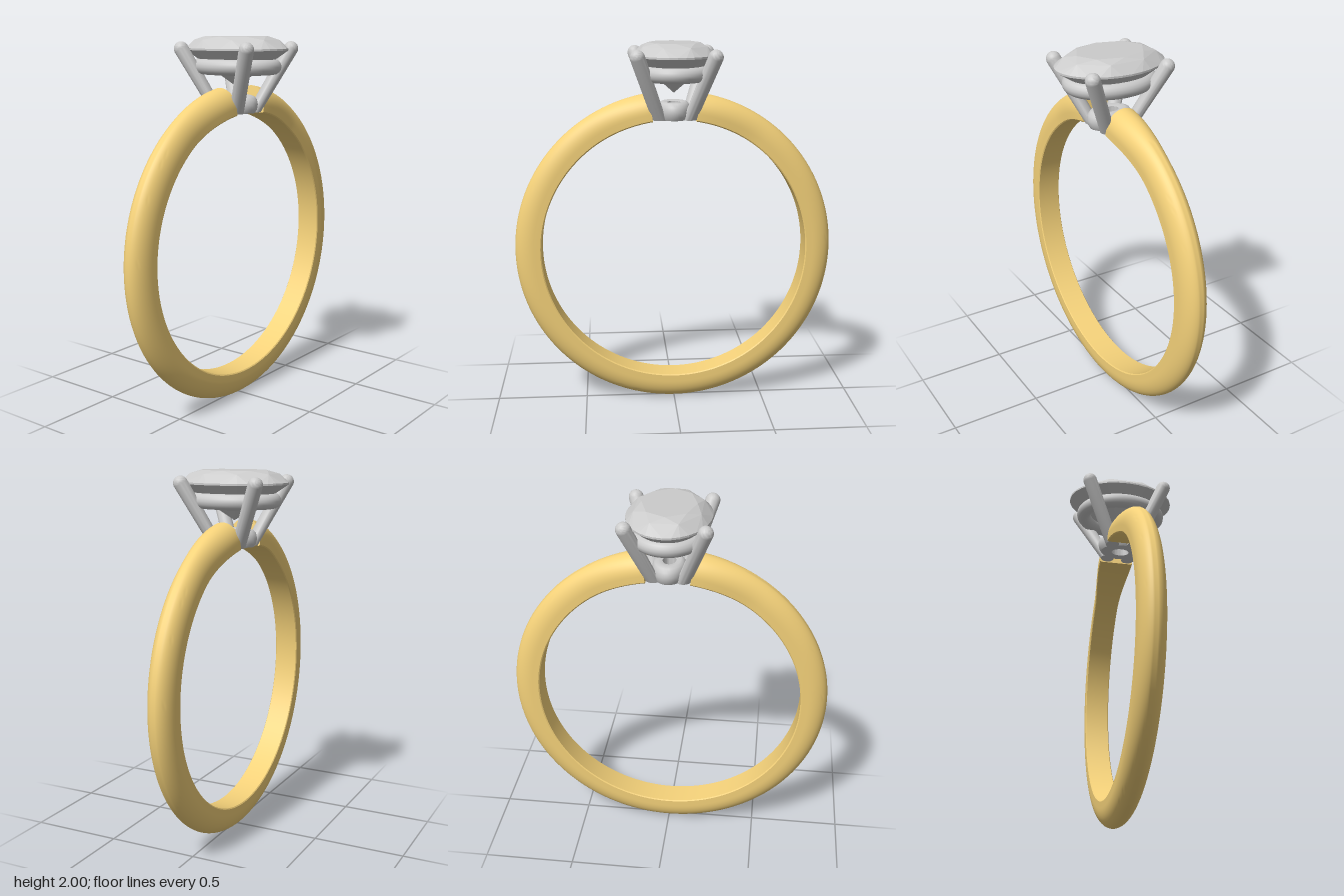
import * as THREE from 'three';
import { toCreasedNormals } from 'three/addons/utils/BufferGeometryUtils.js';
import { ConvexGeometry } from 'three/addons/geometries/ConvexGeometry.js';

const CENTRE_Y = 0.873, R_IN = 0.727, R_OUT = 0.873;

// Band: a domed section swept around the finger, open at the top and wider towards its ends
function bandGeometry() {
  const steps = 160, dome = 24, start = 0.16;
  const positions = [], index = [];
  const profile = [[R_IN, -0.94], [R_IN + 0.006, -1]];
  for (let k = 0; k <= dome; k++) {
    const t = -Math.PI / 2 + (Math.PI * k) / dome;
    profile.push([R_OUT - 0.105 + 0.105 * Math.cos(t), Math.sin(t)]);
  }
  profile.push([R_IN + 0.006, 1], [R_IN, 0.94]);
  const n = profile.length;
  for (let i = 0; i <= steps; i++) {
    const a = start + ((2 * Math.PI - 2 * start) * i) / steps;
    const fromTop = Math.min(a, 2 * Math.PI - a);
    const half = 0.07 + 0.026 * (1 - THREE.MathUtils.smoothstep(fromTop, 0.16, 0.66));
    for (const [r, w] of profile) {
      positions.push(r * Math.sin(a), CENTRE_Y + r * Math.cos(a), w * half);
    }
  }
  for (let i = 0; i < steps; i++) {
    for (let j = 0; j < n; j++) {
      const k = (j + 1) % n;
      const a = i * n + j, b = i * n + k;
      index.push(a, b, a + n, b, b + n, a + n);
    }
  }
  // End faces
  const last = steps * n;
  for (let j = 1; j < n - 1; j++) {
    index.push(0, j + 1, j, last, last + j, last + j + 1);
  }
  const g = new THREE.BufferGeometry();
  g.setAttribute('position', new THREE.Float32BufferAttribute(positions, 3));
  g.setIndex(index);
  return toCreasedNormals(g, 0.6);
}

// Oval brilliant cut: rings of points whose hull gives the facets
function gemGeometry() {
  const points = [new THREE.Vector3(0, 1.735, 0)];
  const ring = (count, ratio, y, turn = 0) => {
    for (let i = 0; i < count; i++) {
      const a = ((i + turn) / count) * Math.PI * 2;
      points.push(new THREE.Vector3(0.22 * ratio * Math.cos(a), y, 0.3 * ratio * Math.sin(a)));
    }
  };
  ring(8, 0.64, 2.0);            // table
  ring(8, 0.83, 1.982, 0.5);     // crown
  ring(32, 1, 1.938);            // girdle
  ring(32, 1, 1.928);
  ring(8, 0.4, 1.81, 0.5);       // pavilion
  return new ConvexGeometry(points);
}

// Claw: a leaning rod with a round tip and a foot cut level
function prongGeometry(sx, sz) {
  const foot = new THREE.Vector3(0.082 * sx, 1.59, 0.062 * sz);
  const tip = new THREE.Vector3(0.2 * sx, 1.935, 0.215 * sz);
  const axis = tip.clone().sub(foot);
  const g = new THREE.CapsuleGeometry(0.039, axis.length(), 8, 24);
  const turn = new THREE.Quaternion().setFromUnitVectors(
    new THREE.Vector3(0, 1, 0), axis.clone().normalize());
  g.applyQuaternion(turn);
  const mid = foot.clone().add(tip).multiplyScalar(0.5);
  g.translate(mid.x, mid.y, mid.z);
  const p = g.attributes.position;
  for (let i = 0; i < p.count; i++) p.setY(i, Math.max(p.getY(i), 1.597));
  g.computeVertexNormals();
  return toCreasedNormals(g, 0.7);
}

// Base collar: a bulging ring with a hole through it and a flat underside
function collarGeometry() {
  const profile = [[0.035, 1.685], [0.035, 1.597], [0.078, 1.597], [0.086, 1.615],
    [0.09, 1.642], [0.086, 1.668], [0.076, 1.685], [0.06, 1.692], [0.035, 1.685]];
  const g = new THREE.LatheGeometry(profile.map(([x, y]) => new THREE.Vector2(x, y)), 48);
  g.scale(1, 1, 1.42);
  return toCreasedNormals(g, 0.7);
}

// Gallery rail: a round wire bent to an oval
function railGeometry() {
  const curve = new THREE.CatmullRomCurve3(
    Array.from({ length: 32 }, (_, i) => {
      const a = (i / 32) * Math.PI * 2;
      return new THREE.Vector3(0.165 * Math.cos(a), 1.842, 0.215 * Math.sin(a));
    }), true);
  return new THREE.TubeGeometry(curve, 96, 0.041, 16, true);
}

export function createModel() {
  const gold = new THREE.MeshStandardMaterial({ color: 0xf5d27a });
  const grey = new THREE.MeshStandardMaterial({ color: 0xcccccc });
  const stone = new THREE.MeshStandardMaterial({ color: 0xcccccc, flatShading: true });

  const model = new THREE.Group();
  model.name = 'ring';
  const add = (name, geometry, material, parent = model) => {
    const mesh = new THREE.Mesh(geometry, material);
    mesh.name = name;
    parent.add(mesh);
  };

  add('band', bandGeometry(), gold);

  const setting = new THREE.Group();
  setting.name = 'setting';
  model.add(setting);
  add('baseCollar', collarGeometry(), grey, setting);
  add('galleryRail', railGeometry(), grey, setting);
  for (const [sx, side] of [[1, 'Left'], [-1, 'Right']]) {
    for (const [sz, end] of [[1, 'front'], [-1, 'back']]) {
      add(`${end}${side}Prong`, prongGeometry(sx, sz), grey, setting);
    }
  }

  add('gemstone', gemGeometry(), stone);
  return model;
}
